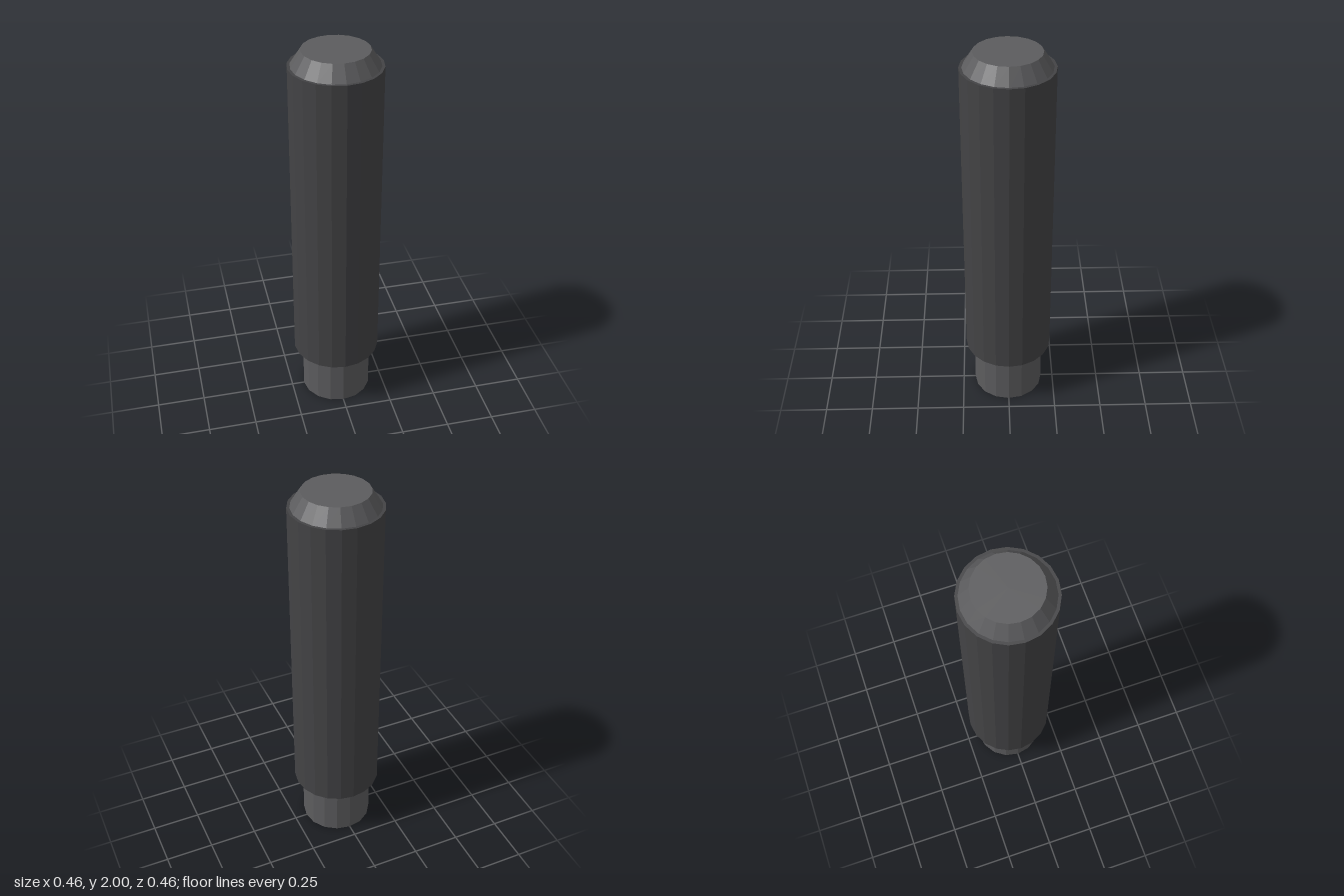
import * as THREE from 'three';

const dark = new THREE.MeshStandardMaterial({ color: 0x434345, flatShading: true });
const light = new THREE.MeshStandardMaterial({ color: 0x5c5c5e, flatShading: true });

// Upright faceted cylinder between two heights
function addCylinder(group, name, rTop, rBottom, y0, y1, sides, material) {
  const geometry = new THREE.CylinderGeometry(rTop, rBottom, y1 - y0, sides);
  geometry.translate(0, (y0 + y1) / 2, 0);
  const mesh = new THREE.Mesh(geometry, material);
  mesh.name = name;
  group.add(mesh);
}

export function createModel() {
  const group = new THREE.Group();
  group.name = 'handle';

  // Narrow pin at the foot
  addCylinder(group, 'pin', 0.184, 0.184, 0, 0.28, 16, light);
  // Long main grip
  addCylinder(group, 'grip', 0.229, 0.229, 0.275, 1.922, 20, dark);
  // Tapered end cap, set in slightly from the grip
  addCylinder(group, 'endCap', 0.165, 0.216, 1.92, 2, 20, light);

  return group;
}
